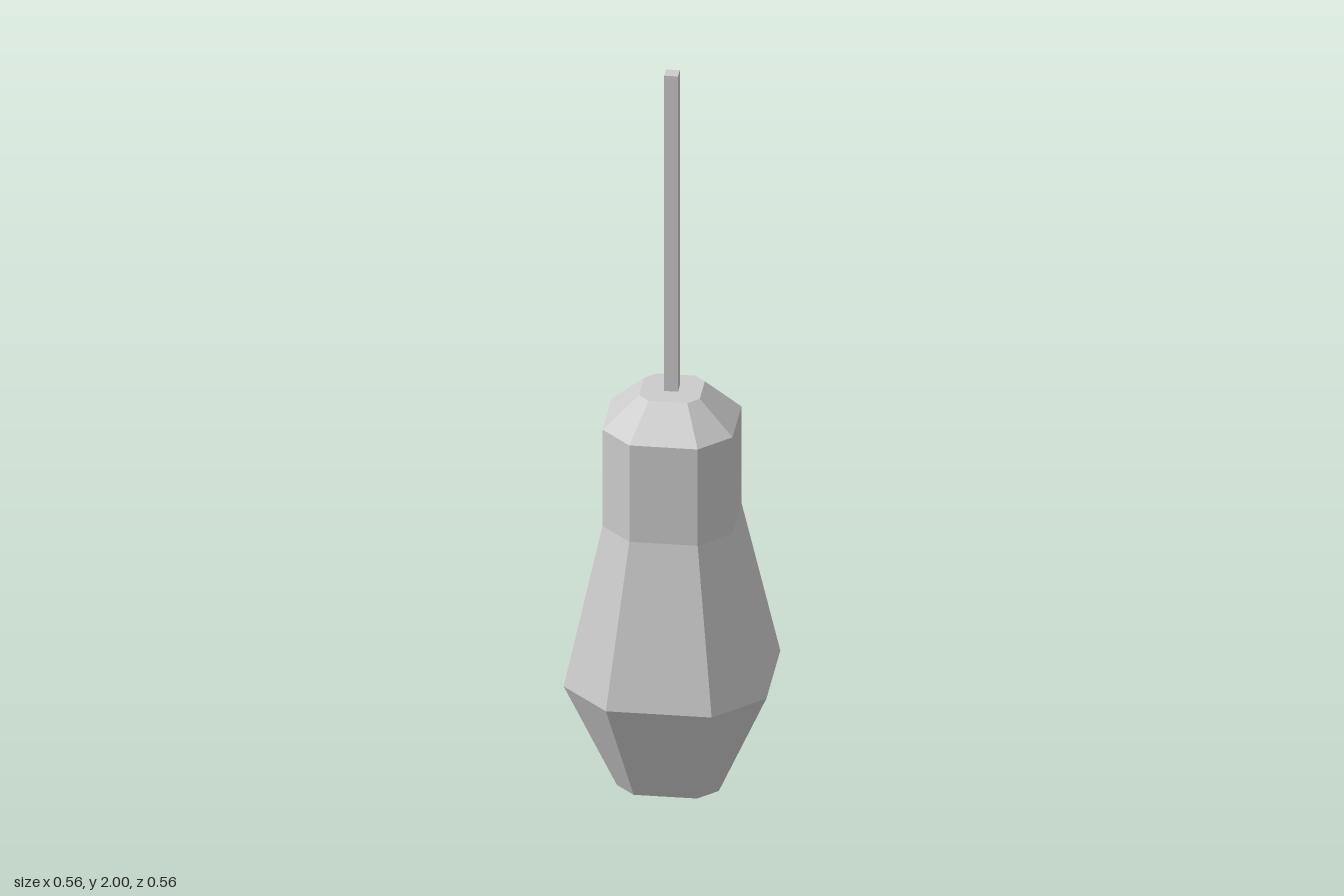
import * as THREE from 'three';

// Chamfered-square cross-section: half width w, half length c of the straight sides
function ring([y, w, c]) {
  return [[w, -c], [w, c], [c, w], [-c, w], [-w, c], [-w, -c], [-c, -w], [c, -w]]
    .map(([x, z]) => [x, y, z]);
}

// Closed solid lofted through a stack of cross-sections, bottom to top
function loft(sections) {
  const rings = sections.map(ring);
  const top = rings.length - 1;
  const positions = [];
  const tri = (...corners) => corners.forEach((p) => positions.push(...p));
  for (let i = 0; i < 8; i++) {
    const j = (i + 1) % 8;
    for (let r = 0; r < top; r++) {
      const lower = rings[r], upper = rings[r + 1];
      tri(lower[i], upper[i], lower[j]);
      tri(lower[j], upper[i], upper[j]);
    }
    tri([0, sections[0][0], 0], rings[0][i], rings[0][j]);
    tri([0, sections[top][0], 0], rings[top][j], rings[top][i]);
  }
  const geometry = new THREE.BufferGeometry();
  geometry.setAttribute('position', new THREE.Float32BufferAttribute(positions, 3));
  geometry.computeVertexNormals();
  return geometry;
}

export function createModel() {
  const model = new THREE.Group();
  model.name = 'hangingBulb';
  const material = new THREE.MeshStandardMaterial({ color: 0xcccccc, flatShading: true });

  // Faceted bulb with its straight socket and bevelled cap: [y, half width, half side]
  const bulb = new THREE.Mesh(loft([
    [0, 0.15, 0.035],
    [0.3, 0.28, 0.088],
    [0.74, 0.18, 0.056],
    [1.015, 0.18, 0.056],
    [1.1, 0.09, 0.02],
  ]), material);
  bulb.name = 'bulbAndSocket';
  model.add(bulb);

  // Four-sided cord rising from the cap
  const cord = new THREE.Mesh(new THREE.CylinderGeometry(0.025, 0.025, 0.9, 4), material);
  cord.name = 'cord';
  cord.position.y = 1.55;
  model.add(cord);

  return model;
}
